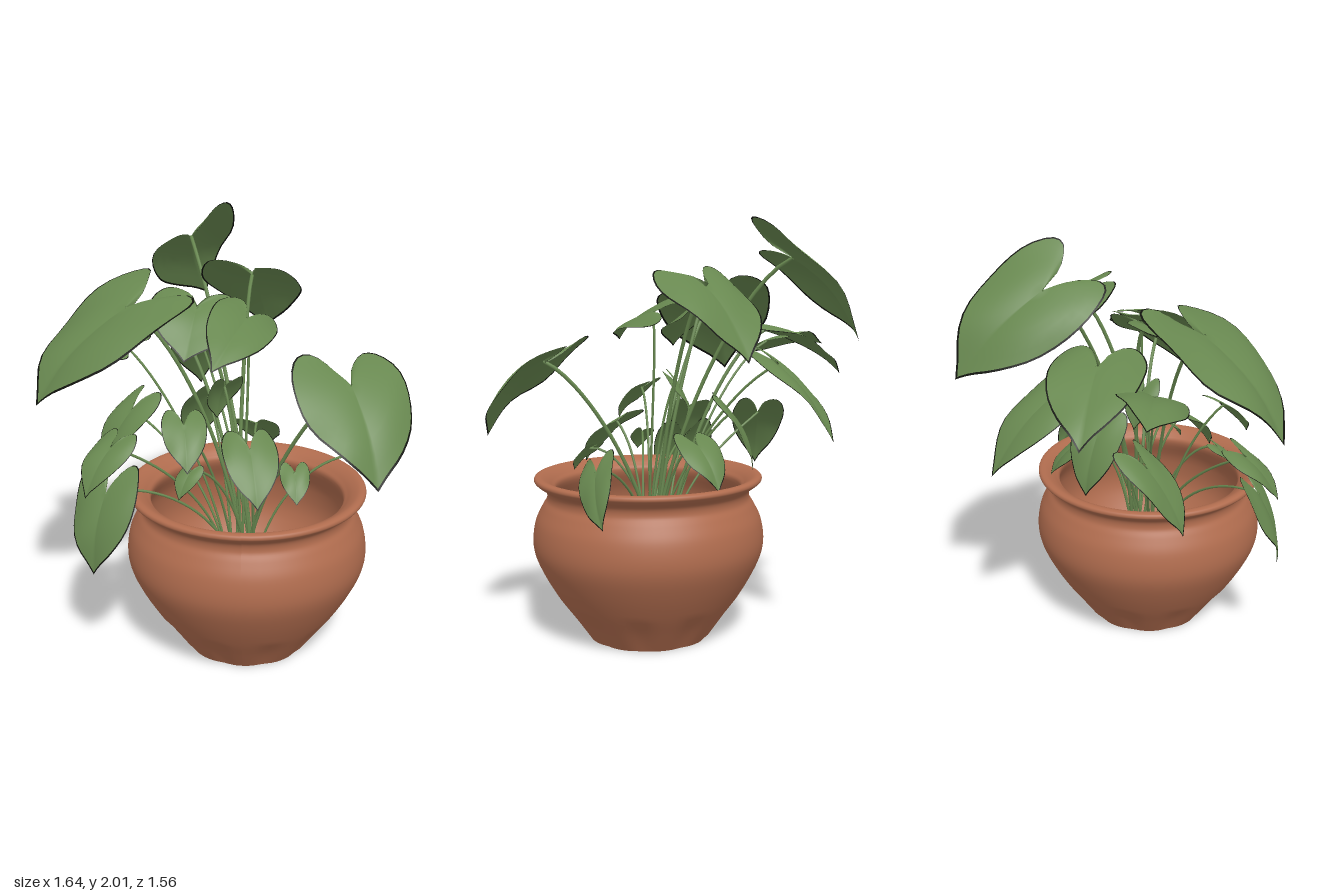
import * as THREE from 'three';

const leafMat = new THREE.MeshStandardMaterial({ color: 0x688850, side: THREE.DoubleSide });
leafMat.name = 'leaf green';
const edgeMat = new THREE.MeshStandardMaterial({ color: 0x10120c, side: THREE.DoubleSide });
edgeMat.name = 'dark leaf edge';
const potMat = new THREE.MeshStandardMaterial({ color: 0xb06c4e, side: THREE.DoubleSide });
potMat.name = 'terracotta';

const ROOT = new THREE.Vector3(0.1, 0.1, 0.2);
const rad = THREE.MathUtils.degToRad;

// Half outline of a heart-shaped leaf: u runs from stalk (0) to tip (1), v is the half width
const HALF = [[1, 0], [0.88, 0.2], [0.7, 0.54], [0.44, 0.86], [0.14, 1], [-0.14, 0.98],
  [-0.35, 0.78], [-0.38, 0.5], [-0.22, 0.18], [0, 0.01]];
const half = new THREE.SplineCurve(HALF.map((p) => new THREE.Vector2(...p))).getPoints(22);
const OUTLINE = [...half, ...half.slice(1, -1).reverse().map((p) => new THREE.Vector2(p.x, -p.y))];

// Large or tilted leaves: stalk point, tip, half width, roll about the midrib in degrees
const LARGE = {
  topBackLeaf: [-0.2, 1.83, -0.4, -0.16, 1.47, -0.78, 0.24, -42],
  upperBackLeaf: [0.11, 1.7, -0.14, 0.17, 1.37, -0.43, 0.23, 0],
  backRightLeaf: [-0.3, 1.5, -0.19, -0.64, 1.27, -0.39, 0.21, 0],
  largeSideLeaf: [-0.43, 1.63, 0.25, -0.8, 1.24, 0.46, 0.29, -9],
  outerSideLeaf: [-0.53, 1.42, -0.02, -0.82, 1.4, -0.17, 0.16, -16],
  centreLeaf: [-0.13, 1.6, 0.09, -0.17, 1.4, 0.3, 0.21, -15],
  frontCentreLeaf: [0.1, 1.58, 0.2, -0.03, 1.43, 0.54, 0.15, -28],
  largeFrontLeaf: [0.56, 1.36, 0.46, 0.67, 1, 0.74, 0.26, -3],
  hangingBackLeaf: [-0.16, 1.34, -0.35, -0.18, 1, -0.65, 0.15, -13],
  lowSideLeaf: [-0.46, 1.06, -0.02, -0.6, 0.77, 0.1, 0.13, 0],
  lowLeftLeaf: [0.62, 0.89, 0.07, 0.72, 0.67, -0.07, 0.1, 50],
};

// Small leaves: stalk point, heading in degrees from front, length, and droop where it is steep
const SMALL = {
  lowHangingLeaf: [-0.5, 0.86, 0.52, -30, 0.37, 74],
  lowOuterLeaf: [-0.48, 1.05, 0.45, -38, 0.25],
  lowFrontLeaf: [0.13, 1.04, 0.41, 14, 0.28],
  smallFrontLeaf: [-0.15, 1.18, 0.5, 11, 0.22],
  tinyFrontLeaf: [0.33, 0.93, 0.4, 7, 0.15],
  tinyInnerLeaf: [-0.13, 0.95, 0.48, -30, 0.13],
  innerBackLeaf: [-0.1, 1.1, -0.12, 217, 0.3, 69],
  lowBackLeaf: [0.14, 0.97, -0.12, 165, 0.25],
  innerLeaf: [0, 1.24, 0.14, 214, 0.19, 68],
};

// Leaf blade: rings scaled outward from the stalk, then bent along the leaf normal
function leafGeometry(base, tip, wide, roll, seed) {
  const axis = tip.clone().sub(base);
  const len = axis.length();
  const side = new THREE.Vector3(axis.z, 0, -axis.x).normalize()
    .applyAxisAngle(axis.clone().normalize(), rad(roll));
  const normal = new THREE.Vector3().crossVectors(axis, side).normalize();
  const rings = 8, n = OUTLINE.length, pos = [], idx = [];
  for (let k = 0; k <= rings; k++) {
    const s = k < rings ? (0.972 * k) / (rings - 1) : 1;
    for (const o of OUTLINE) {
      const u = o.x * s, v = o.y * s;
      const arch = len * 0.3 * u * (1 - u);
      const fold = wide * (0.22 * Math.abs(v) - 0.3 * v * v);
      const wave = wide * 0.08 * s * s * Math.sin(5 * u + 3 * v + seed) * (1 - u * u);
      const p = base.clone().addScaledVector(axis, u).addScaledVector(side, v * wide)
        .addScaledVector(normal, arch + fold + wave);
      pos.push(p.x, p.y, p.z);
    }
  }
  for (let k = 0; k < rings; k++) {
    for (let i = 0; i < n; i++) {
      const a = k * n + i, b = k * n + ((i + 1) % n);
      if (k > 0) idx.push(a, a + n, b);
      idx.push(b, a + n, b + n);
    }
  }
  const g = new THREE.BufferGeometry();
  g.setAttribute('position', new THREE.Float32BufferAttribute(pos, 3));
  g.setIndex(idx);
  g.computeVertexNormals();
  // the inner ring collapses to a point, so give it one shared normal
  const q = g.attributes.normal;
  for (let i = 0; i < n; i++) q.setXYZ(i, q.getX(n), q.getY(n), q.getZ(n));
  // the outermost ring is the dark edge
  g.addGroup(0, idx.length - 6 * n, 0);
  g.addGroup(idx.length - 6 * n, 6 * n, 1);
  return g;
}

// Stalk rising from the middle of the pot and arching over into the leaf
function stemGeometry(base, tip, i, radius) {
  const a = i * 2.4;
  const start = ROOT.clone().add(new THREE.Vector3(Math.cos(a) * 0.05, 0, Math.sin(a) * 0.05));
  const out = base.clone().sub(start);
  const low = start.clone().add(new THREE.Vector3(out.x * 0.05, Math.max(0.65, out.y * 0.5), out.z * 0.05));
  const back = base.clone().sub(tip).setY(0).multiplyScalar(0.25);
  const high = base.clone().add(back).addScaledVector(out.clone().setY(0), -0.2);
  high.y += base.y < 1 ? 0.03 : -0.08;
  const curve = new THREE.CubicBezierCurve3(start, low, high, base);
  return new THREE.TubeGeometry(curve, 24, radius, 6);
}

function createLeaf(name, base, tip, wide, roll, i) {
  const group = new THREE.Group();
  group.name = name;
  const blade = new THREE.Mesh(leafGeometry(base, tip, wide, roll, i * 1.7), [leafMat, edgeMat]);
  blade.name = name + 'Blade';
  const stem = new THREE.Mesh(stemGeometry(base, tip, i, wide > 0.18 ? 0.009 : 0.006), leafMat);
  stem.name = name + 'Stem';
  group.add(blade, stem);
  return group;
}

// Pot: smooth turned profile, with shallow flutes pressed in near the foot
function createPot() {
  const profile = [[0.3, 0], [0.37, 0.1], [0.44, 0.2], [0.505, 0.31], [0.55, 0.41], [0.562, 0.49],
    [0.548, 0.58], [0.515, 0.65], [0.492, 0.69], [0.497, 0.73], [0.535, 0.76], [0.552, 0.778],
    [0.545, 0.795], [0.515, 0.795], [0.47, 0.765], [0.45, 0.72], [0.51, 0.58], [0.5, 0.38],
    [0.3, 0.1], [0, 0.05]];
  const curve = new THREE.SplineCurve(profile.map((p) => new THREE.Vector2(...p)));
  const g = new THREE.LatheGeometry(curve.getPoints(95), 80);
  const p = g.attributes.position;
  for (let i = 0; i < p.count; i++) {
    const x = p.getX(i), y = p.getY(i), z = p.getZ(i);
    if (y > 0.2 || Math.hypot(x, z) < 0.29 + 0.6 * y) continue;
    const groove = Math.pow(0.5 + 0.5 * Math.cos(10 * Math.atan2(z, x)), 2);
    const k = 1 - 0.035 * groove * Math.sin((Math.PI * (y + 0.06)) / 0.26);
    p.setXYZ(i, x * k, y, z * k);
  }
  g.computeVertexNormals();
  const body = new THREE.Mesh(g, potMat);
  body.name = 'potBody';
  const foot = new THREE.Mesh(new THREE.CircleGeometry(0.294, 80), potMat);
  foot.name = 'potFoot';
  foot.rotation.x = Math.PI / 2;
  foot.position.y = 0.002;
  const pot = new THREE.Group();
  pot.name = 'pot';
  pot.add(body, foot);
  pot.position.set(0.11, 0, 0.22);
  return pot;
}

export function createModel() {
  const model = new THREE.Group();
  model.name = 'pottedPlant';
  model.add(createPot());
  Object.entries(LARGE).forEach(([name, [x, y, z, tx, ty, tz, wide, roll]], i) => {
    const base = new THREE.Vector3(x, y, z), tip = new THREE.Vector3(tx, ty, tz);
    model.add(createLeaf(name, base, tip, wide, roll, i));
  });
  Object.entries(SMALL).forEach(([name, [x, y, z, heading, len, droop = 50]], i) => {
    const base = new THREE.Vector3(x, y, z);
    const tip = new THREE.Vector3().setFromSphericalCoords(len, rad(90 + droop), rad(heading)).add(base);
    model.add(createLeaf(name, base, tip, len * 0.44, 0, i + 11));
  });
  return model;
}
